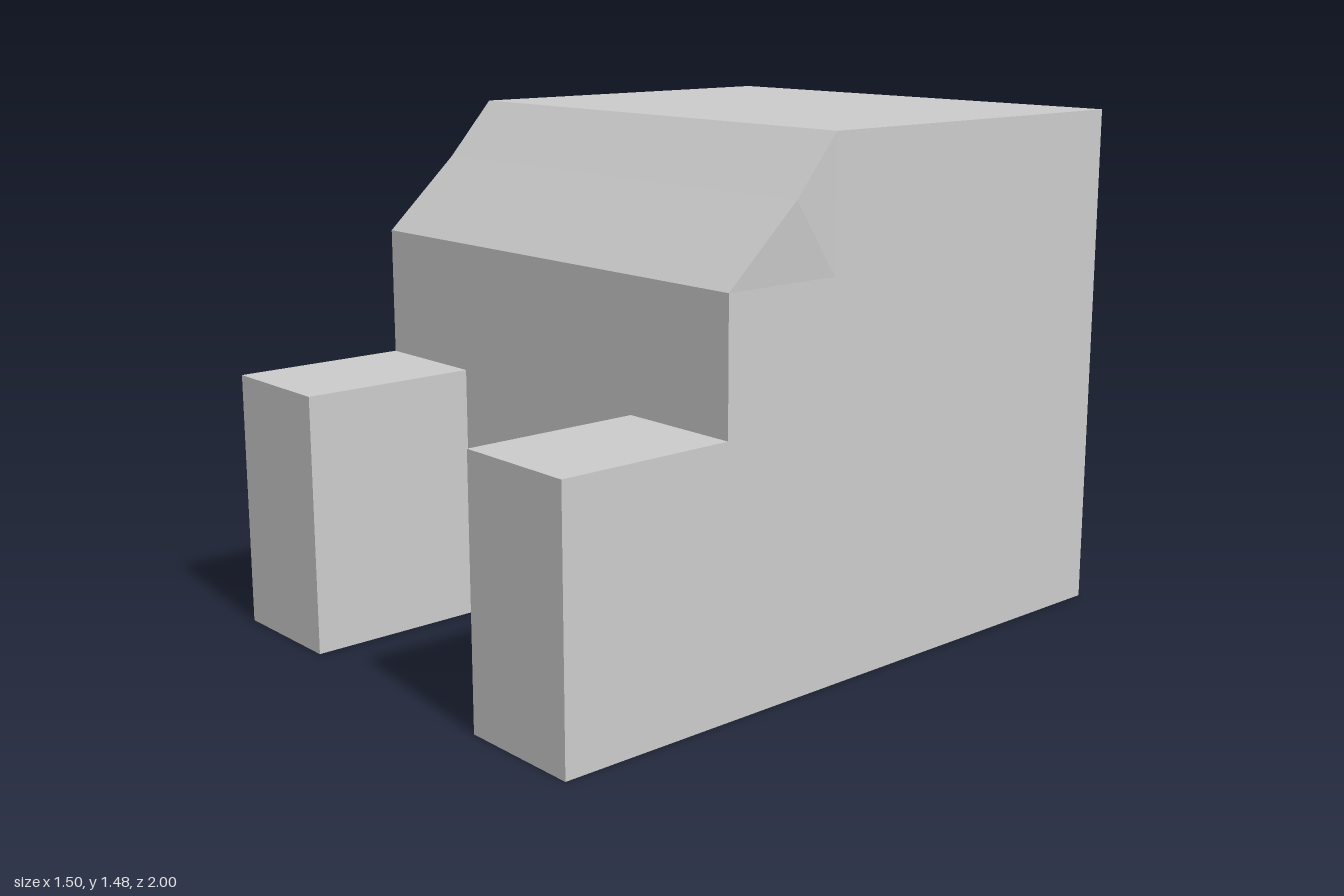
import * as THREE from 'three';

const X0 = -0.75, WIDTH = 1.48;

// Side profile of [z, y] points, extruded across the width
function extrudeProfile(points) {
  const shape = new THREE.Shape(points.map(([z, y]) => new THREE.Vector2(-z, y)));
  const geometry = new THREE.ExtrudeGeometry(shape, { depth: WIDTH, bevelEnabled: false });
  return geometry.rotateY(Math.PI / 2).translate(X0, 0, 0);
}

export function createModel() {
  const group = new THREE.Group();
  const material = new THREE.MeshStandardMaterial({ color: 0xcccccc, flatShading: true });
  const add = (name, geometry) => {
    const mesh = new THREE.Mesh(geometry, material);
    mesh.name = name;
    group.add(mesh);
    return mesh;
  };

  // Main block with a step at the upper front
  add('body', extrudeProfile([
    [-1, 0], [0.48, 0], [0.48, 1.11], [0.11, 1.11], [0.11, 1.48], [-1, 1.48],
  ]));

  // Slope filling the step; its middle line is shifted slightly sideways
  const midY = 1.32;
  const slope = extrudeProfile([[0.11, 1.11], [0.48, 1.11], [0.265, midY], [0.11, 1.48]]);
  const pos = slope.attributes.position;
  for (let i = 0; i < pos.count; i++) {
    if (Math.abs(pos.getY(i) - midY) < 0.001) pos.setX(i, pos.getX(i) + 0.015);
  }
  slope.computeVertexNormals();
  add('frontSlope', slope);

  // Two blocks reaching forward at the sides
  const legWidth = 0.37;
  for (const [name, x] of [['rightFrontBlock', X0], ['leftFrontBlock', X0 + WIDTH - legWidth]]) {
    add(name, new THREE.BoxGeometry(legWidth, 0.74, 0.52)).position.set(x + legWidth / 2, 0.37, 0.74);
  }

  return group;
}
